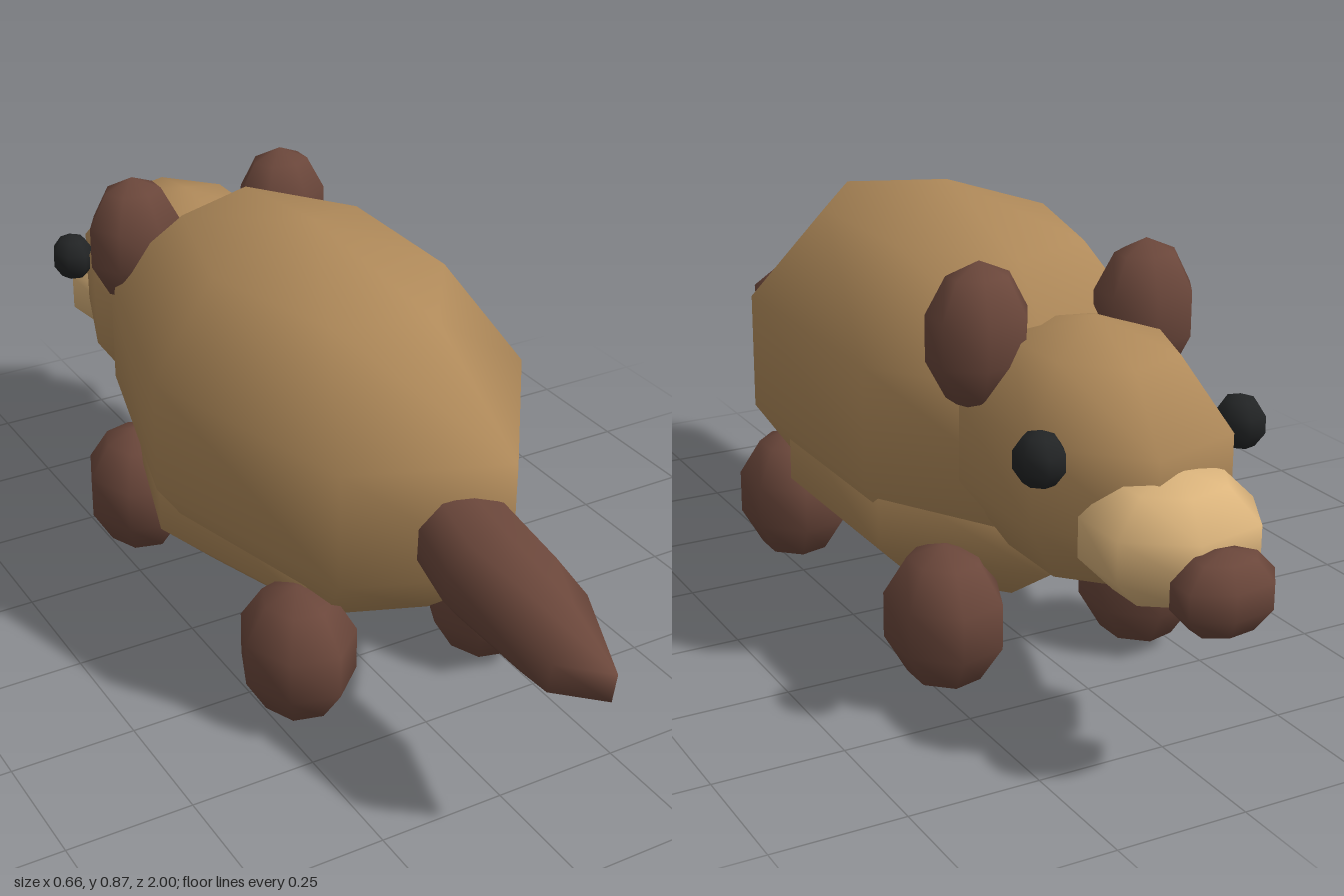
import * as THREE from 'three';

const mat = (name, color) => {
  const m = new THREE.MeshStandardMaterial({ color });
  m.name = name;
  return m;
};

export function createModel() {
  const group = new THREE.Group();
  group.name = 'rodent';

  const fur = mat('tan fur', 0xb08a5a);
  const dark = mat('dark brown skin', 0x6b473b);
  const cream = mat('cream muzzle', 0xdbb47c);
  const black = mat('black eye', 0x222425);

  // every part is a stretched seven-sided smooth ball
  const ball = new THREE.SphereGeometry(1, 7, 5);
  const midX = 0.016;
  const blob = (name, material, pos, scale, tilt = 0) => {
    const mesh = new THREE.Mesh(ball, material);
    mesh.name = name;
    mesh.position.set(midX + pos[0], pos[1], pos[2]);
    mesh.scale.set(...scale);
    mesh.rotation.x = tilt;
    group.add(mesh);
  };

  // trunk; the animal looks towards -z
  blob('body', fur, [0, 0.488, 0.03], [0.365, 0.377, 0.636]);
  blob('belly', fur, [0, 0.31, -0.025], [0.332, 0.22, 0.5]);

  // head
  blob('head', fur, [0, 0.493, -0.52], [0.232, 0.2425, 0.314]);
  blob('snout', cream, [0, 0.42, -0.78], [0.172, 0.12, 0.15]);
  blob('nose', dark, [0, 0.376, -0.936], [0.103, 0.077, 0.069]);

  // tail, drooping to the back
  blob('tail', dark, [0, 0.435, 0.67], [0.107, 0.102, 0.354], 0.16);

  // paired parts
  for (const s of [-1, 1]) {
    const side = s < 0 ? 'A' : 'B';
    blob('eye' + side, black, [s * 0.201, 0.556, -0.68], [0.047, 0.051, 0.052]);
    blob('ear' + side, dark, [s * 0.172, 0.692, -0.414], [0.103, 0.137, 0.083]);
    blob('frontLeg' + side, dark, [s * 0.211, 0.1425, -0.357], [0.116, 0.1425, 0.132]);
    blob('backLeg' + side, dark, [s * 0.211, 0.1425, 0.343], [0.116, 0.1425, 0.132]);
  }

  return group;
}
